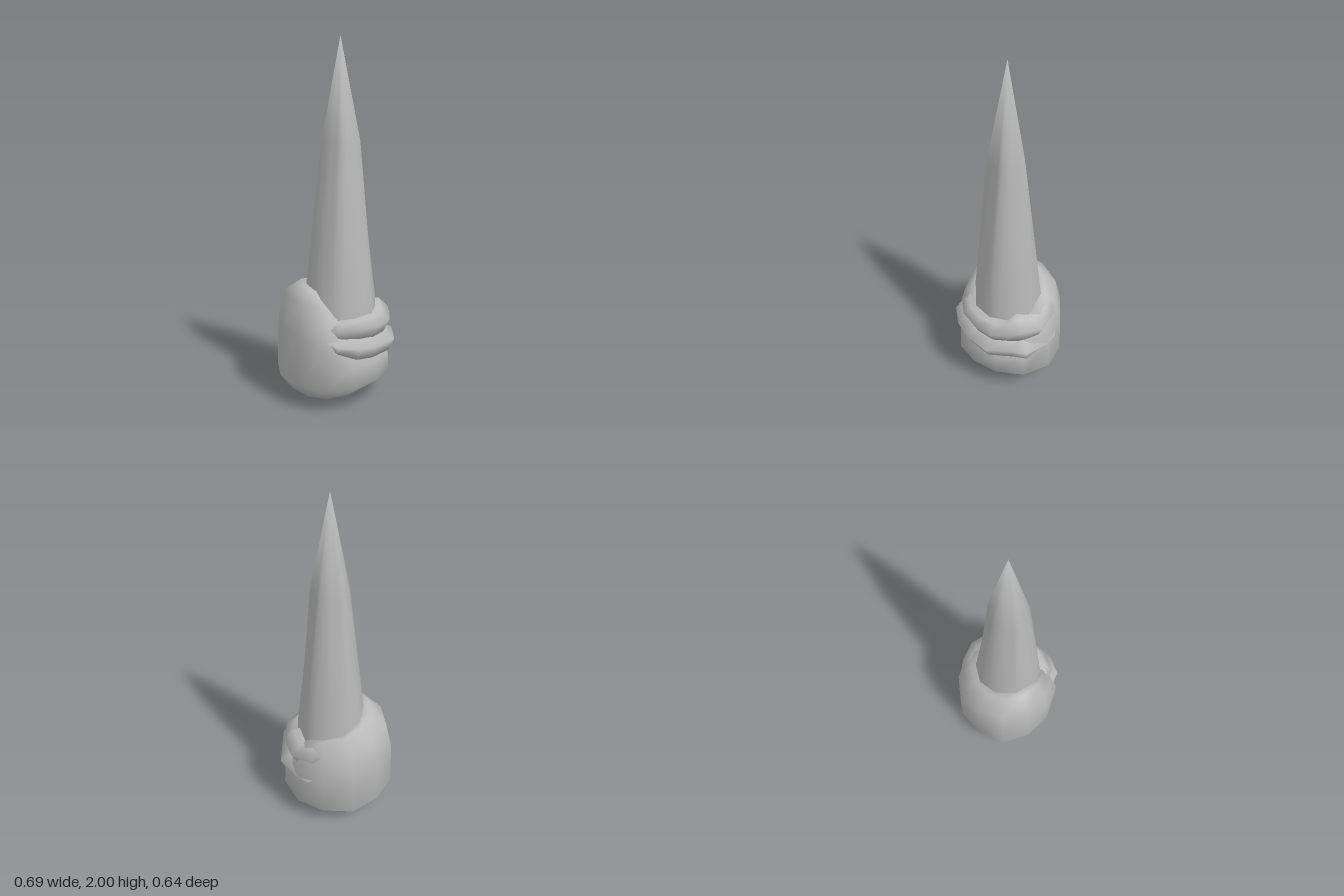
import * as THREE from 'three';
import { mergeVertices } from 'three/addons/utils/BufferGeometryUtils.js';

const rad = THREE.MathUtils.degToRad;

// Skin a list of vertical sections; each is { angle, points: [[radius, y], ...] } from the underside up.
function loftAround(sections, closed, rimShift = 0) {
  const pos = [], index = [];
  const n = sections.length, m = sections[0].points.length;
  for (const { angle, points } of sections) {
    points.forEach(([r, y], j) => {
      const dx = j >= m - 2 ? rimShift : 0; // the rim follows the spike's centre
      pos.push(dx + r * Math.cos(rad(angle)), y, r * Math.sin(rad(angle)));
    });
  }
  for (let i = 0; i < (closed ? n : n - 1); i++) {
    for (let j = 0; j < m - 1; j++) {
      const a = i * m + j, b = ((i + 1) % n) * m + j;
      index.push(a, a + 1, b, b, a + 1, b + 1);
    }
  }
  const g = new THREE.BufferGeometry();
  g.setAttribute('position', new THREE.Float32BufferAttribute(pos, 3));
  g.setIndex(index);
  const merged = mergeVertices(g);
  merged.computeVertexNormals();
  return merged;
}

// Distance from the centre to the edge of a regular polygon in a given direction
function polygonRadius(r, sides, angle, phase) {
  const step = 360 / sides;
  const off = ((angle - phase) % step + step) % step - step / 2;
  return r * Math.cos(rad(step / 2)) / Math.cos(rad(off));
}

export function createModel() {
  const group = new THREE.Group();
  const stone = new THREE.MeshStandardMaterial({ color: 0xb8b8b8, side: THREE.DoubleSide });
  stone.name = 'grey stone';
  const add = (name, geometry) => {
    const mesh = new THREE.Mesh(geometry, stone);
    mesh.name = name;
    group.add(mesh);
    return mesh;
  };

  // Tall spike: ten-sided at the foot, five-sided below the point
  const spikeSections = Array.from({ length: 20 }, (_, i) => {
    const angle = i * 18;
    return {
      angle,
      points: [
        [polygonRadius(0.204, 10, angle, 18), 0.25], [polygonRadius(0.199, 10, angle, 18), 0.58],
        [polygonRadius(0.11, 5, angle, 0), 1.45], [0, 2],
      ],
    };
  });
  add('spike', loftAround(spikeSections, true)).position.x = 0.027;

  // Lumpy base, one column every 30 degrees from +x towards +z: [radius, bottom, top, foot radius]
  const columns = [
    [0.31, 0.11, 0.36, 0.22], [0.30, 0.10, 0.38, 0.22], [0.31, 0.065, 0.41, 0.22], [0.32, 0.045, 0.55, 0.22],
    [0.315, 0.04, 0.66, 0.23], [0.325, 0.05, 0.67, 0.26], [0.348, 0.05, 0.66, 0.295], [0.335, 0.03, 0.64, 0.26],
    [0.335, 0.0, 0.61, 0.22], [0.325, 0.02, 0.59, 0.22], [0.335, 0.05, 0.55, 0.23], [0.33, 0.085, 0.42, 0.23],
  ];
  add('rockBase', loftAround(columns.map(([r, lo, hi, foot], i) => ({
    angle: i * 30,
    points: [
      [0, 0.045], [foot, lo], [r, 0.12 + lo * 0.3], [0.975 * r, Math.max(0.26, hi * 0.64)],
      [0.87 * r, hi - 0.07], [0.22, hi], [0.15, hi - 0.03],
    ],
  })), true, 0.02));

  // Broken ledges wrapped round the low side: [angle, radius, bottom, top]
  const ledge = (name, stations) => add(name, loftAround(stations.map(([angle, r, lo, hi]) => ({
    angle,
    points: [[0.2, lo + 0.02], [r - 0.035, lo], [r, lo * 0.4 + hi * 0.6], [0.24, hi - 0.01], [0.17, hi]],
  })), false, 0.02));
  ledge('lowerLedge', [
    [-95, 0.28, 0.36, 0.42], [-72, 0.325, 0.27, 0.38], [-58, 0.33, 0.25, 0.39], [-32, 0.35, 0.26, 0.40],
    [-18, 0.33, 0.28, 0.41], [8, 0.348, 0.29, 0.41], [35, 0.325, 0.29, 0.41], [55, 0.325, 0.30, 0.42],
    [76, 0.325, 0.34, 0.42], [92, 0.28, 0.38, 0.42],
  ]);
  ledge('upperLedge', [
    [-105, 0.26, 0.46, 0.58], [-75, 0.30, 0.41, 0.55], [-50, 0.325, 0.40, 0.52], [-28, 0.315, 0.39, 0.55],
    [-15, 0.31, 0.39, 0.51], [5, 0.315, 0.39, 0.51], [28, 0.30, 0.39, 0.51], [50, 0.295, 0.40, 0.51],
    [75, 0.285, 0.40, 0.50], [90, 0.25, 0.42, 0.49],
  ]);

  return group;
}
